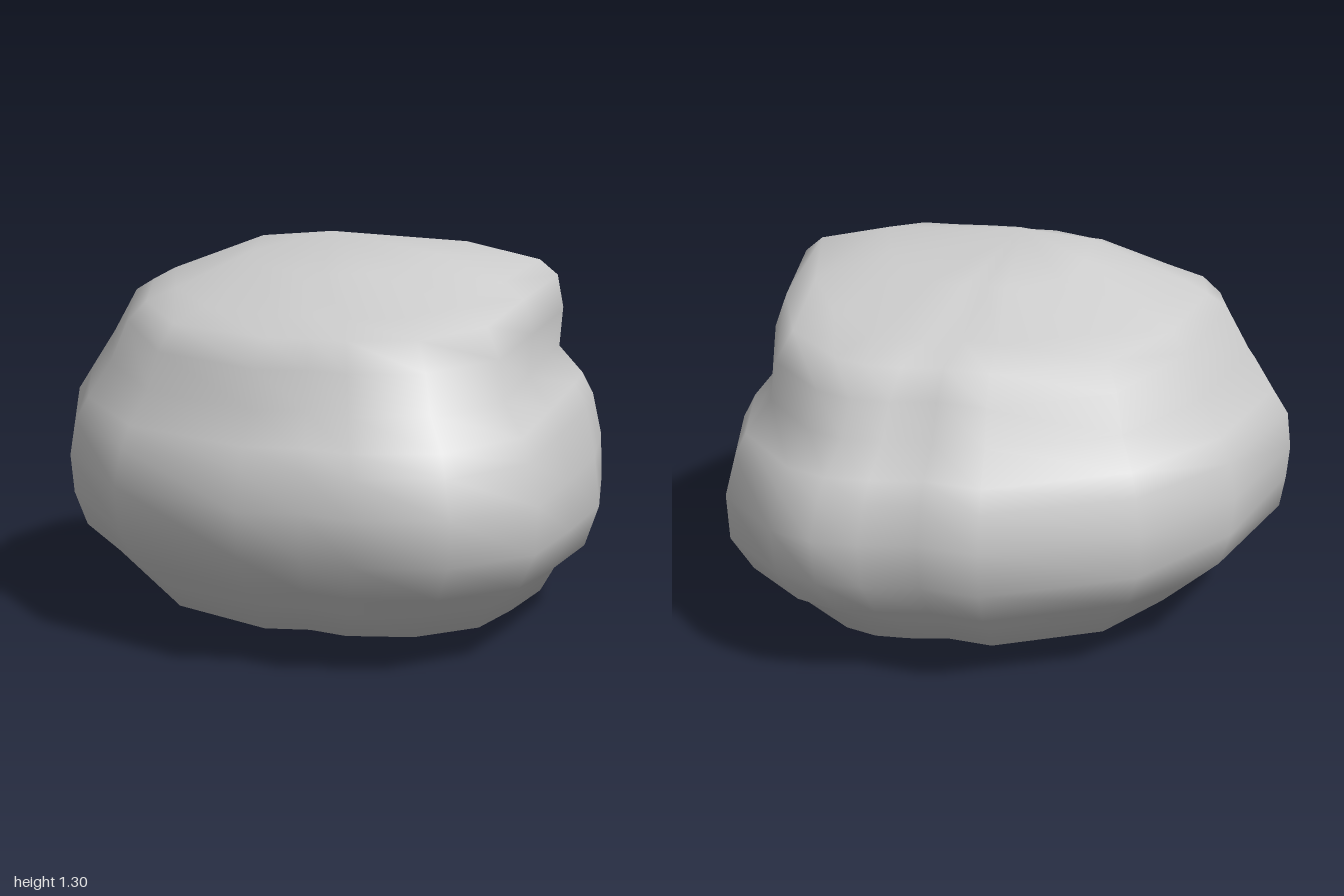
import * as THREE from 'three';
import { mergeVertices } from 'three/addons/utils/BufferGeometryUtils.js';

// Widest outline of the boulder, as [x, z] going round from the -x tip
const outline = [
  [-0.935, 0], [-0.81, -0.43], [-0.56, -0.73], [-0.1, -0.97], [0.1, -0.95],
  [0.28, -0.99], [0.43, -1], [0.58, -0.95], [0.82, -0.73], [0.91, -0.43],
  [0.93, 0], [0.87, 0.37], [0.8, 0.72], [0.56, 0.95], [0.27, 1],
  [0.1, 0.945], [-0.1, 0.965], [-0.56, 0.73], [-0.81, 0.43],
];

// Rings from bottom to top: [scale, y] on the -x side, the +x side, and the front and back
const levels = [
  [[0, 0.01], [0, 0.01], [0, 0.01]],
  [[0.36, 0.02], [0.5, 0], [0.36, 0.04]],
  [[0.66, 0.14], [0.79, 0.07], [0.73, 0.095]],
  [[0.86, 0.27], [0.85, 0.17], [0.78, 0.18]],
  [[0.97, 0.38], [0.95, 0.24], [0.91, 0.27]],
  [[0.99, 0.49], [1, 0.38], [0.985, 0.39]],
  [[1, 0.6], [0.98, 0.55], [1, 0.54]],
  [[0.985, 0.72], [0.945, 0.72], [0.965, 0.66]],
  [[0.93, 0.8], [0.9, 0.8], [0.93, 0.73]],
  [[0.84, 0.93], [0.805, 0.9], [0.85, 0.83]],
  [[0.75, 1.08], [0.85, 1.05], [0.81, 0.95]],
  [[0.68, 1.12], [0.83, 1.17], [0.74, 1.04]],
  [[0.6, 1.16], [0.765, 1.22], [0.59, 1.085]],
  [[0.26, 1.28], [0.5, 1.275], [0.36, 1.2]],
  [[0, 1.3], [0, 1.3], [0, 1.3]],
];

function boulderGeometry() {
  const positions = [];
  const index = [];
  const n = outline.length;
  levels.forEach(([left, right, ends], j) => {
    outline.forEach(([x, z], i) => {
      // the side profile fades quickly, leaving a ridge along x on the top and the underside
      const w = ((x * x) / (x * x + z * z)) ** 2.5;
      const side = x < 0 ? left : right;
      const s = THREE.MathUtils.lerp(ends[0], side[0], w);
      const y = THREE.MathUtils.lerp(ends[1], side[1], w);
      positions.push(x * s, y, z * s);
      if (j === levels.length - 1) return;
      const a = j * n + i;
      const b = j * n + ((i + 1) % n);
      if (j < levels.length - 2) index.push(a, a + n, b + n);
      else index.push(a, a + n, b);
      if (j > 0 && j < levels.length - 2) index.push(a, b + n, b);
    });
  });
  let geometry = new THREE.BufferGeometry();
  geometry.setAttribute('position', new THREE.Float32BufferAttribute(positions, 3));
  geometry.setIndex(index);
  geometry = mergeVertices(geometry); // join the points at the two poles
  geometry.computeVertexNormals();
  return geometry;
}

export function createModel() {
  const group = new THREE.Group();
  group.name = 'rock';
  const boulder = new THREE.Mesh(
    boulderGeometry(),
    new THREE.MeshStandardMaterial({ color: 0xcccccc }),
  );
  boulder.name = 'boulder';
  group.add(boulder);
  return group;
}
